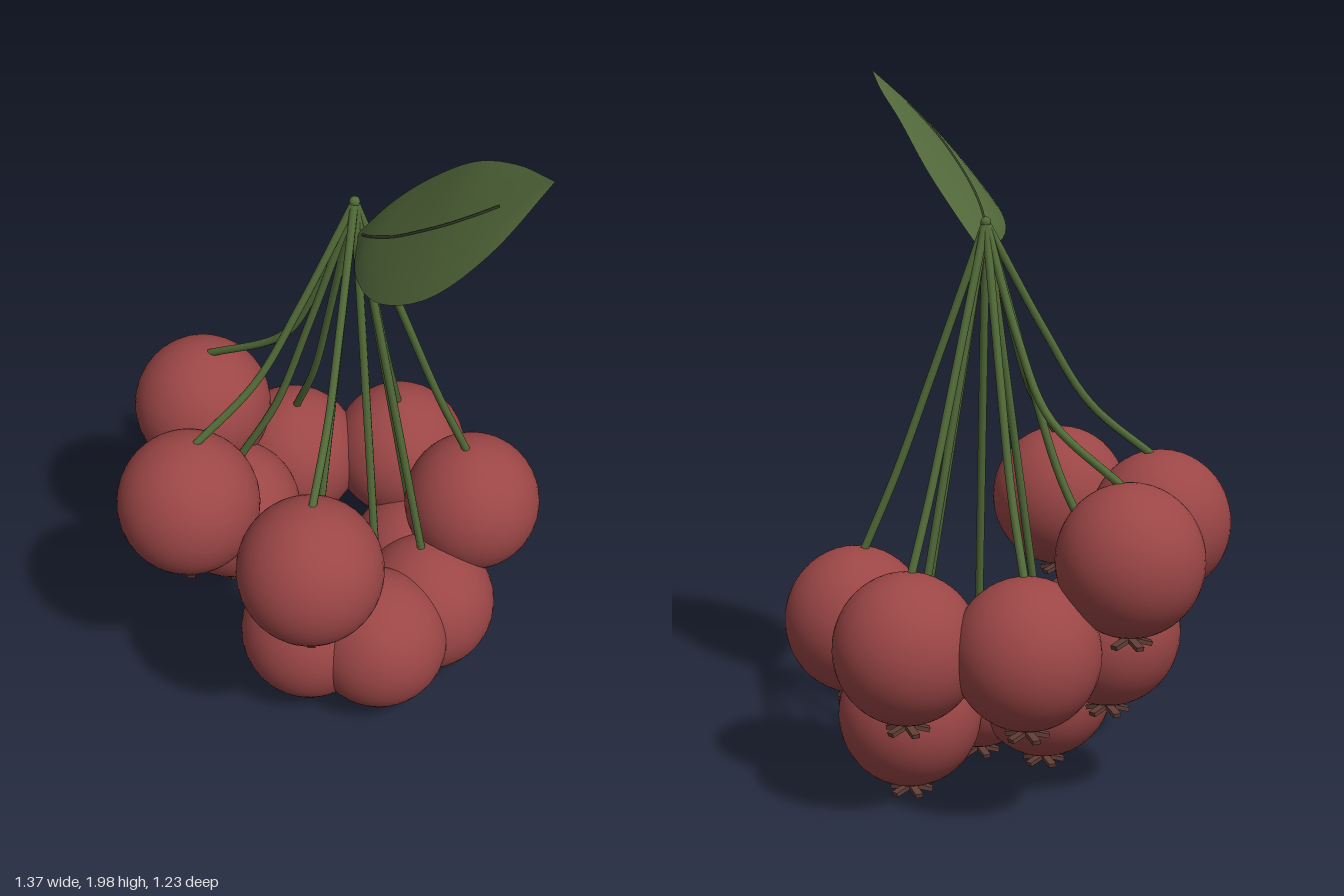
import * as THREE from 'three';

const V = (x, y, z) => new THREE.Vector3(x, y, z);
const material = (name, color) => Object.assign(new THREE.MeshStandardMaterial({ color }), { name });

export function createModel() {
  const berryRed = material('berry red', 0x9c4646);
  const stemGreen = material('stem green', 0x526b38);
  const leafGreen = material('leaf green', 0x52683a);
  const veinGreen = material('vein green', 0x35452a);
  const sepalBrown = material('sepal brown', 0x5e3c34);
  leafGreen.side = THREE.DoubleSide;

  const cluster = new THREE.Group();
  cluster.name = 'berryCluster';
  const add = (parent, geometry, mat, name) => {
    const mesh = new THREE.Mesh(geometry, mat);
    mesh.name = name;
    parent.add(mesh);
    return mesh;
  };

  // Berry centres in three tiers, with how strongly each stem bows
  const berries = [
    [-0.49, 0.75, -0.015, 1], [-0.26, 0.75, 0.365, 0.5], [0.18, 0.75, 0.41, 0.5],
    [-0.315, 0.5, -0.225, 0.35], [-0.315, 0.5, 0.09, 0.35],
    [-0.055, 0.5, -0.42, 0.1], [0.255, 0.5, -0.33, 0.1],
    [0.01, 0.25, 0.17, 0], [0.2, 0.25, 0.09, 0], [0.235, 0.25, -0.12, 0], [0.1, 0.25, -0.27, 0],
  ];
  const joint = V(0.01, 1.61, -0.06);
  const berryGeometry = new THREE.SphereGeometry(0.2, 40, 28).scale(1, 1.035, 1);
  // Sepal: a small flat blade that starts at the berry and droops outwards
  const sepalGeometry = new THREE.BoxGeometry(0.062, 0.012, 0.022).translate(0.031, 0, 0).rotateZ(-0.25);

  berries.forEach(([x, y, z, bow], i) => {
    const fruit = new THREE.Group();
    fruit.name = 'fruit' + (i + 1);
    cluster.add(fruit);

    add(fruit, berryGeometry, berryRed, 'berry').position.set(x, y, z);

    // Stem falls from the shared joint and bows out to the top of the berry
    const centre = V(x, y, z);
    const inward = V(joint.x - x, 0, joint.z - z).setLength(0.02);
    const end = centre.clone().add(inward).add(V(0, 0.19, 0));
    const along = (out, down) => V(
      THREE.MathUtils.lerp(joint.x, end.x, out),
      THREE.MathUtils.lerp(joint.y, end.y, down),
      THREE.MathUtils.lerp(joint.z, end.z, out));
    const path = new THREE.CatmullRomCurve3([
      joint, along(0.45 - 0.22 * bow, 0.45), along(0.76 - 0.3 * bow, 0.76), end]);
    add(fruit, new THREE.TubeGeometry(path, 24, 0.0115, 8), stemGreen, 'stem');

    // Star of sepals under the berry
    const calyx = new THREE.Group();
    calyx.name = 'calyx';
    calyx.position.set(x, y - 0.213, z);
    fruit.add(calyx);
    for (let k = 0; k < 5; k++) {
      add(calyx, sepalGeometry, sepalBrown, 'sepal').rotation.y = (k / 5) * Math.PI * 2 + 0.3;
    }
  });

  // Rounded joint where the stems meet
  add(cluster, new THREE.SphereGeometry(0.015, 12, 8), stemGreen, 'stemJoint').position.copy(joint);

  // Leaf: surface spanned between its two edge curves, gently arched
  const base = V(0.025, 1.52, -0.055), tip = V(0.68, 2, 0.12);
  const upper = new THREE.CatmullRomCurve3([
    base, V(0.11, 1.63, -0.083), V(0.22, 1.74, -0.083), V(0.38, 1.87, -0.04), V(0.53, 1.945, 0.025), tip]);
  const lower = new THREE.CatmullRomCurve3([
    base, V(0.15, 1.55, 0.15), V(0.3, 1.6, 0.28), V(0.47, 1.705, 0.32), V(0.6, 1.85, 0.26), tip]);
  const arch = V(-0.58, 0.56, 0.59);
  const leafPoint = (s, t) => upper.getPoint(t).lerp(lower.getPoint(t), s)
    .addScaledVector(arch, 0.1 * s * (1 - s) * Math.sin(Math.PI * t));
  const leafGeometry = new THREE.PlaneGeometry(1, 1, 10, 24);
  const { position, uv } = leafGeometry.attributes;
  for (let i = 0; i < position.count; i++) {
    const p = leafPoint(uv.getX(i), uv.getY(i));
    position.setXYZ(i, p.x, p.y, p.z);
  }
  leafGeometry.computeVertexNormals();
  add(cluster, leafGeometry, leafGreen, 'leaf');

  // Fine midrib along the leaf
  const rib = [];
  for (let t = 0.1; t < 0.8; t += 0.1) rib.push(leafPoint(0.5, t));
  add(cluster, new THREE.TubeGeometry(new THREE.CatmullRomCurve3(rib), 24, 0.004, 6), veinGreen, 'midrib');

  return cluster;
}
